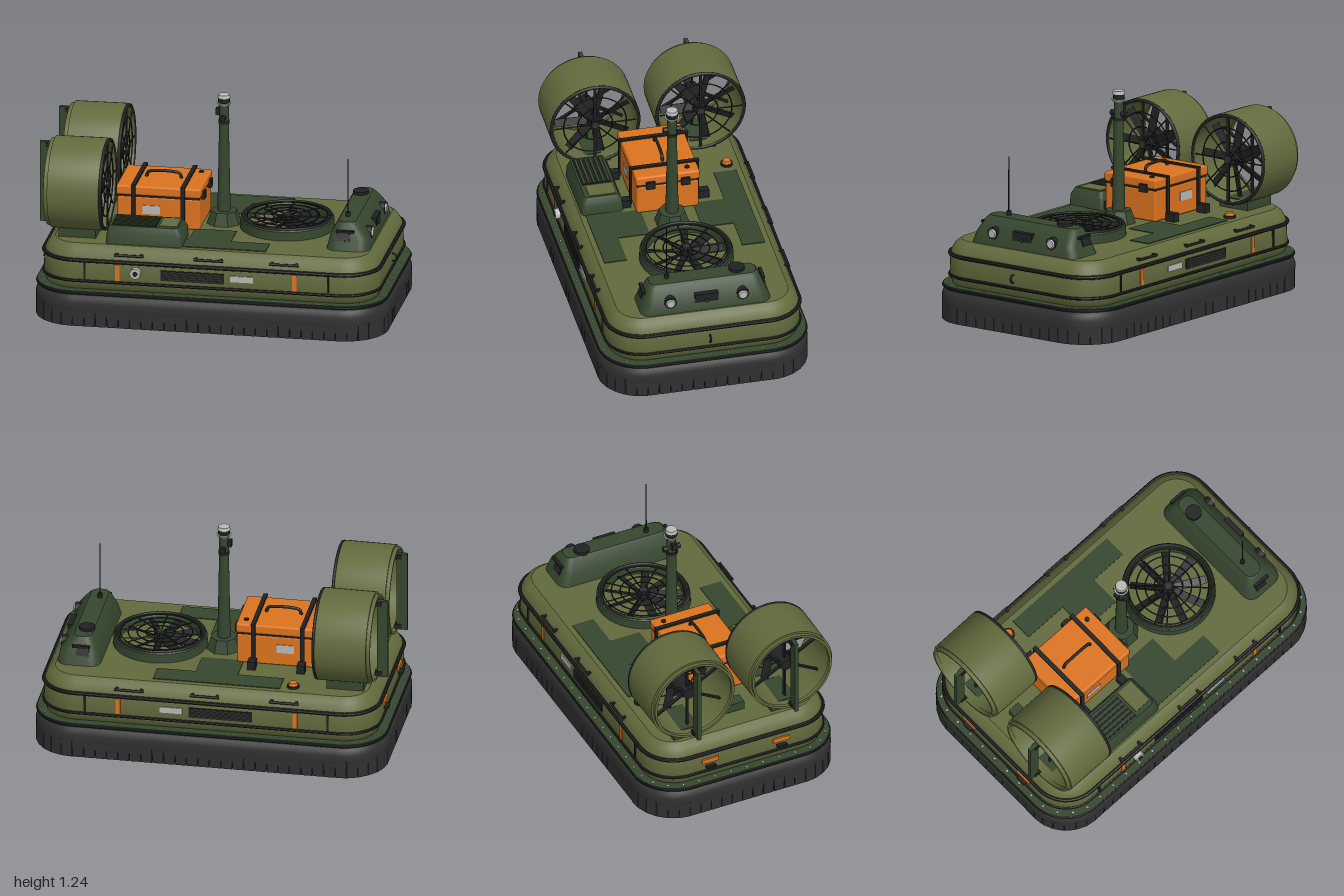
import * as THREE from 'three';
import { toCreasedNormals } from 'three/addons/utils/BufferGeometryUtils.js';
import { RoundedBoxGeometry } from 'three/addons/geometries/RoundedBoxGeometry.js';

const mat = (name, color) => Object.assign(new THREE.MeshStandardMaterial({ color }), { name });
const olive = mat('olive', 0x636a3d), green = mat('dark green', 0x35462e), black = mat('black', 0x202122);
const rubber = mat('rubber', 0x303031), orange = mat('orange', 0xdc731f), grey = mat('light grey', 0xb9bab8);
const PI = Math.PI;

function add(parent, name, geo, material, x = 0, y = 0, z = 0, rx = 0, ry = 0, rz = 0) {
  const m = new THREE.Mesh(geo, material);
  m.name = name;
  m.position.set(x, y, z);
  m.rotation.set(rx, ry, rz);
  parent.add(m);
  return m;
}
function group(parent, name, x = 0, y = 0, z = 0) {
  const g = new THREE.Group();
  g.name = name;
  g.position.set(x, y, z);
  parent.add(g);
  return g;
}
const box = (w, h, d) => new THREE.BoxGeometry(w, h, d);
const cyl = (r, h, top = r, n = 24) => new THREE.CylinderGeometry(top, r, h, n);
const lathe = (pts, n = 56) => toCreasedNormals(
  new THREE.LatheGeometry(pts.map(p => new THREE.Vector2(p[0], p[1])), n), 0.5);

// Skin through rounded rectangles; each row is [halfX, halfZ, radius, y, centreX]
function loft(rows, steps = 10) {
  const pos = [], idx = [], n = 4 * (steps + 1);
  for (const [hx, hz, r, y, cx = 0] of rows)
    for (let c = 0; c < 4; c++)
      for (let i = 0; i <= steps; i++) {
        const a = (c + i / steps) * PI / 2;
        const sx = c === 0 || c === 3 ? 1 : -1, sz = c < 2 ? 1 : -1;
        pos.push(cx + sx * (hx - r) + r * Math.cos(a), y, sz * (hz - r) + r * Math.sin(a));
      }
  for (let k = 0; k < rows.length - 1; k++)
    for (let i = 0; i < n; i++) {
      const a = k * n + i, c = k * n + (i + 1) % n;
      idx.push(a, a + n, c, c, a + n, c + n);
    }
  const g = new THREE.BufferGeometry();
  g.setAttribute('position', new THREE.Float32BufferAttribute(pos, 3));
  g.setIndex(idx);
  return toCreasedNormals(g, 0.6);
}
// Row of the craft outline, inset by d
const outline = (d, y) => [1 - d, 0.6 - d, 0.25 - d, y];
const centre = (y, cx = 0) => [0, 0, 0, y, cx];
const rail = (d, y, r) => loft(Array.from({ length: 9 }, (_, i) =>
  outline(d - r * Math.cos(i * PI / 4), y + r * Math.sin(i * PI / 4))));

// Calls f(x, z, outward angle) at even steps along the outline
function around(count, d, f) {
  const q = 0.25 * PI / 2, sides = [0.7, 1.5, 0.7, 1.5], total = 4.4 + 4 * q;
  for (let i = 0; i < count; i++) {
    let s = (i + 0.5) / count * total, k = 0;
    while (s > sides[k] + q) s -= sides[k++] + q;
    const bend = Math.max(0, s - sides[k]) / q * PI / 2, a = k * PI / 2 + bend;
    // straight side k, followed by the corner after it
    const hx = 0.75, hz = 0.35, t = Math.min(s, sides[k]);
    const base = [[hx, -hz + t], [hx - t, hz], [-hx, hz - t], [-hx + t, -hz]][k];
    f(base[0] + (0.25 - d) * Math.cos(a), base[1] + (0.25 - d) * Math.sin(a), a);
  }
}

// Fan wheel with guard, axis along local y, guard facing +y
function fan(parent, R, blades, rings, guardY) {
  add(parent, 'fanHub', cyl(0.036, 0.06), black);
  add(parent, 'hubCap', cyl(0.022, 0.012), rubber, 0, guardY + 0.006, 0);
  for (let i = 0; i < blades; i++) {
    const b = group(parent, 'fanBlade');
    b.rotation.y = i / blades * 2 * PI + 0.2;
    add(b, 'blade', box(R - 0.05, 0.008, 0.045), black, R / 2 + 0.01, 0, 0, 0.45);
  }
  for (const r of rings) add(parent, 'guardRing', new THREE.TorusGeometry(r, 0.004, 6, 48), black, 0, guardY, 0, PI / 2);
  for (let i = 0; i < 4; i++)
    add(parent, 'guardSpoke', cyl(0.004, 2 * R, 0.004, 6), black, 0, guardY, 0, PI / 2, 0, i * PI / 4);
}

function buildHull(g) {
  add(g, 'hull', loft([centre(0.2), outline(0.1, 0.2), outline(0.06, 0.235), outline(0.045, 0.28),
    outline(0.048, 0.4), outline(0.058, 0.43), outline(0.078, 0.462), outline(0.11, 0.485), centre(0.487)]), olive);
  add(g, 'skirt', loft([outline(0.008, 0.075), outline(0.002, 0.12), outline(0, 0.165), outline(0.01, 0.195),
    outline(0.03, 0.214), outline(0.13, 0.214), outline(0.11, 0.16), outline(0.05, 0.1), outline(0.03, 0.075),
    outline(0.008, 0.075)]), rubber);
  around(92, 0.016, (x, z, a) => add(g, 'skirtFinger', box(0.026, 0.1, 0.061), rubber, x, 0.08, z, 0, -a));
  add(g, 'flange', loft([outline(0.09, 0.213), outline(0.008, 0.213), outline(0.008, 0.234), outline(0.09, 0.234)]), green);
  add(g, 'flangeTrim', rail(0.008, 0.222, 0.007), black);
  around(60, 0.03, (x, z) => add(g, 'flangeBolt', cyl(0.006, 0.006, 0.006, 8), grey, x, 0.236, z));
  add(g, 'lowerRubRail', rail(0.044, 0.284, 0.009), black);
  add(g, 'upperRubRail', rail(0.046, 0.404, 0.012), black);
  for (const s of [-1, 1]) {
    // flank panels
    const z = s * 0.555;
    add(g, 'sideVent', box(0.36, 0.06, 0.008), black, -0.08, 0.342, z);
    for (let i = 0; i < 4; i++) add(g, 'ventSlat', box(0.33, 0.006, 0.012), rubber, -0.08, 0.321 + i * 0.014, z);
    add(g, 'dataPlate', box(0.13, 0.035, 0.008), grey, 0.2, 0.346, z);
    for (const x of [-0.505, 0.5]) add(g, 'sideStripe', box(0.026, 0.095, 0.008), orange, x, 0.344, z);
    for (const x of [-0.69, 0.69]) add(g, 'panelJoint', box(0.01, 0.095, 0.012), black, x, 0.344, z);
    for (const x of [-0.44, 0.01, 0.44]) {
      add(g, 'grabRail', cyl(0.007, 0.165, 0.007, 10), black, x, 0.445, s * 0.552, 0, 0, PI / 2);
      for (const e of [-0.07, 0.07]) add(g, 'grabRailFoot', box(0.014, 0.014, 0.03), black, x + e, 0.445, s * 0.54);
    }
    add(g, 'sternLamp', box(0.012, 0.026, 0.1), orange, -0.957, 0.352, s * 0.22);
    add(g, 'sternStep', box(0.03, 0.012, 0.06), black, -0.963, 0.315, s * 0.22);
    // anti-slip deck panels
    add(g, 'deckPanel', box(0.72, 0.006, 0.13), green, -0.04, 0.487, s * 0.395);
    add(g, 'deckCrossPanel', box(0.24, 0.006, 0.18), green, -0.02, 0.487, s * 0.24);
  }
  add(g, 'sideLamp', cyl(0.03, 0.03), grey, -0.4, 0.35, 0.567, PI / 2);
  add(g, 'sideLampCore', cyl(0.014, 0.006), black, -0.4, 0.35, 0.583, PI / 2);
  add(g, 'towRing', new THREE.TorusGeometry(0.022, 0.005, 8, 20), black, 0.958, 0.338, 0);
  add(g, 'beaconBase', cyl(0.034, 0.014), black, -0.47, 0.492, -0.42);
  add(g, 'beacon', cyl(0.028, 0.02, 0.022), orange, -0.47, 0.505, -0.42);
}

function buildThruster(g, s) {
  const t = group(g, 'thruster', -0.755, 0.775, s * 0.302);
  t.rotation.z = -PI / 2;
  add(t, 'duct', lathe([[0.238, -0.15], [0.258, -0.15], [0.26, 0.13], [0.255, 0.15], [0.24, 0.15], [0.236, 0.1], [0.238, -0.15]]), olive);
  add(t, 'ductRearLip', lathe([[0.232, -0.172], [0.246, -0.172], [0.246, -0.15], [0.232, -0.15], [0.232, -0.172]]), olive);
  add(t, 'ductFrontRim', new THREE.TorusGeometry(0.25, 0.01, 8, 56), black, 0, 0.148, 0, PI / 2);
  add(t, 'motor', cyl(0.035, 0.16, 0.05), black, 0, -0.02, 0);
  for (let i = 0; i < 3; i++)
    add(t, 'motorStrut', box(0.47, 0.02, 0.01), black, 0, -0.07, 0, 0, i * PI / 3, 0);
  const f = group(t, 'propeller', 0, 0.095, 0);
  fan(f, 0.235, 7, [0.1, 0.18], 0.052);
  add(t, 'guardStrut', box(0.48, 0.008, 0.016), black, 0, 0.148, 0);
  add(g, 'rudder', box(0.062, 0.47, 0.022), green, -0.957, 0.775, s * 0.302);
  for (const y of [0.56, 0.99]) add(g, 'rudderHinge', box(0.04, 0.025, 0.035), black, -0.935, y, s * 0.302);
  add(g, 'thrusterPedestal', box(0.21, 0.07, 0.2), green, -0.76, 0.51, s * 0.302);
}

function buildCargoBox(g) {
  const c = group(g, 'cargoBox', -0.34, 0, 0);
  add(c, 'caseBody', new RoundedBoxGeometry(0.47, 0.18, 0.355, 2, 0.012), orange, 0, 0.58, 0);
  add(c, 'caseSeam', box(0.466, 0.014, 0.352), black, 0, 0.672, 0);
  add(c, 'caseLid', new RoundedBoxGeometry(0.48, 0.056, 0.366, 2, 0.012), orange, 0, 0.704, 0);
  const path = new THREE.CatmullRomCurve3([[-0.1, 0.728], [-0.09, 0.757], [-0.06, 0.766], [0.06, 0.766], [0.09, 0.757], [0.1, 0.728]]
    .map(p => new THREE.Vector3(p[0], p[1], 0)));
  add(c, 'carryHandle', new THREE.TubeGeometry(path, 24, 0.009, 8), black);
  for (const x of [-0.14, 0.14]) {
    add(c, 'strapTop', box(0.024, 0.01, 0.4), black, x, 0.737, 0);
    for (const s of [-1, 1]) {
      add(c, 'strapSide', box(0.024, 0.24, 0.01), black, x, 0.62, s * 0.192);
      add(c, 'strapAnchor', box(0.045, 0.05, 0.06), black, x, 0.51, s * 0.225);
    }
  }
  for (const s of [-1, 1]) {
    for (const z of [-0.1, 0.1]) add(c, 'latch', box(0.02, 0.046, 0.05), black, s * 0.244, 0.678, z);
    add(c, 'caseLabel', box(0.1, 0.05, 0.006), grey, -0.04, 0.595, s * 0.179);
  }
  add(c, 'pressureValve', cyl(0.014, 0.008), black, 0.19, 0.734, -0.12);
}

function buildDeckGear(g) {
  // engine cover
  add(g, 'engineCover', loft([[0.218, 0.12, 0.025, 0.483, -0.37], [0.213, 0.115, 0.025, 0.55, -0.37],
    [0.195, 0.097, 0.02, 0.588, -0.375], centre(0.588, -0.375)], 4).translate(0, 0, 0.36), green);
  add(g, 'coverGrille', box(0.25, 0.006, 0.17), black, -0.43, 0.588, 0.36);
  for (let i = 0; i < 6; i++) add(g, 'grilleSlat', box(0.24, 0.01, 0.015), green, -0.43, 0.591, 0.29 + i * 0.028);
  add(g, 'coverHatch', box(0.1, 0.008, 0.15), olive, -0.24, 0.588, 0.355);
  add(g, 'thrusterBrace', box(0.07, 0.05, 0.14), green, -0.76, 0.53, 0);

  // lift fan
  const f = group(g, 'liftFan', 0.36, 0.515, 0);
  add(f, 'liftFanRing', lathe([[0.265, -0.032], [0.262, 0.022], [0.254, 0.032], [0.235, 0.032], [0.228, 0.02], [0.228, -0.026], [0, -0.026]]), green);
  add(f, 'liftFanFloor', cyl(0.227, 0.004), olive, 0, -0.023, 0);
  add(f, 'liftFanRim', new THREE.TorusGeometry(0.248, 0.009, 8, 56), black, 0, 0.032, 0, PI / 2);
  fan(f, 0.23, 9, [0.08, 0.13, 0.18, 0.225], 0.034);

  // mast
  const m = group(g, 'mast');
  add(m, 'mastBase', toCreasedNormals(cyl(0.1, 0.075, 0.075, 8), 0.3), green, 0, 0.522, 0, 0, PI / 8);
  add(m, 'mastTube', cyl(0.037, 0.54, 0.027), green, 0, 0.82, 0);
  add(m, 'mastCollar', cyl(0.032, 0.018), black, 0, 1.08, 0);
  add(m, 'mastHead', cyl(0.027, 0.1), green, 0, 1.135, 0);
  for (const s of [-1, 1]) add(m, 'mastSensor', cyl(0.016, 0.028), black, 0, 1.11, s * 0.038, PI / 2);
  add(m, 'mastCamera', box(0.03, 0.04, 0.03), black, -0.03, 1.14, 0);
  add(m, 'lampSeat', cyl(0.032, 0.015, 0.042), grey, 0, 1.187, 0);
  add(m, 'lampLens', cyl(0.033, 0.03), black, 0, 1.209, 0);
  add(m, 'lampCap', cyl(0.036, 0.018, 0.032), grey, 0, 1.232, 0);

  // bow cabin
  const b = group(g, 'bowCabin');
  add(b, 'cabinShell', loft([[0.122, 0.375, 0.06, 0.48, 0.762], [0.11, 0.348, 0.055, 0.55, 0.765],
    [0.064, 0.318, 0.045, 0.622, 0.753], [0.05, 0.305, 0.04, 0.636, 0.75], centre(0.636, 0.75)], 6), green);
  add(b, 'bowHatch', box(0.03, 0.085, 0.135), black, 0.862, 0.543, 0);
  add(b, 'bowHatchKnob', cyl(0.012, 0.01), rubber, 0.88, 0.543, 0, 0, 0, PI / 2);
  for (const s of [-1, 1]) {
    add(b, 'headlightRim', cyl(0.035, 0.05), black, 0.855, 0.553, s * 0.207, 0, 0, PI / 2);
    add(b, 'headlightLens', cyl(0.028, 0.01, 0.022), grey, 0.884, 0.553, s * 0.207, 0, 0, -PI / 2);
    add(b, 'cabinHandle', box(0.1, 0.014, 0.018), black, 0.75, 0.59, s * 0.342);
    add(b, 'cabinSideVent', box(0.07, 0.045, 0.008), black, 0.74, 0.56, s * 0.347, -s * 0.4);
  }
  add(b, 'roofHatch', cyl(0.045, 0.02), black, 0.74, 0.642, -0.2);
  add(b, 'antennaBase', cyl(0.014, 0.03), black, 0.74, 0.645, 0.2);
  add(b, 'antenna', cyl(0.004, 0.33, 0.003, 6), black, 0.74, 0.805, 0.2);
}

function buildTrack(g, s) {
  const t = group(g, 'track', 0, 0.085, s * 0.335);
  const R = 0.07, L = 0.53;
  const shape = new THREE.Shape();
  shape.absarc(L, 0, R, -PI / 2, PI / 2);
  shape.absarc(-L, 0, R, PI / 2, 1.5 * PI);
  add(t, 'trackBelt', new THREE.ExtrudeGeometry(shape, { depth: 0.19, bevelEnabled: false, curveSegments: 14 }), rubber, 0, 0, -0.095);
  for (let i = 0; i < 25; i++)
    for (const y of [-1, 1]) add(t, 'trackCleat', box(0.022, 0.016, 0.21), black, -L + i * L / 12, y * 0.077, 0);
  for (const e of [-1, 1])
    for (let i = 1; i < 5; i++) {
      const a = -PI / 2 + i * PI / 5;
      add(t, 'trackCleat', box(0.016, 0.022, 0.21), black, e * (L + 0.077 * Math.cos(a)), 0.077 * Math.sin(a), 0, 0, 0, e * a);
    }
  for (const side of [-1, 1]) {
    for (const x of [-0.53, -0.27, -0.02, 0.23, 0.53]) {
      const end = Math.abs(x) > 0.5;
      add(t, 'roadWheel', cyl(end ? 0.06 : 0.045, 0.03), black, x, end ? 0 : -0.015, side * 0.1, PI / 2);
      add(t, 'wheelHub', cyl(x > 0.5 ? 0.03 : 0.02, 0.012), x < -0.5 ? rubber : grey, x, end ? 0 : -0.015, side * 0.118, PI / 2);
    }
  }
  // suspension dampers on the inner side
  for (const x of [-0.38, 0.2]) {
    add(t, 'damperBody', cyl(0.018, 0.07), olive, x, 0.03, -s * 0.14);
    add(t, 'damperRod', cyl(0.022, 0.05), grey, x, 0.09, -s * 0.14);
    add(t, 'damperArm', box(0.04, 0.02, 0.06), black, x, -0.005, -s * 0.125);
  }
}

export function createModel() {
  const model = new THREE.Group();
  model.name = 'hovercraft';
  buildHull(model);
  buildDeckGear(model);
  buildCargoBox(model);
  for (const s of [-1, 1]) {
    buildThruster(model, s);
    buildTrack(model, s);
  }
  return model;
}
